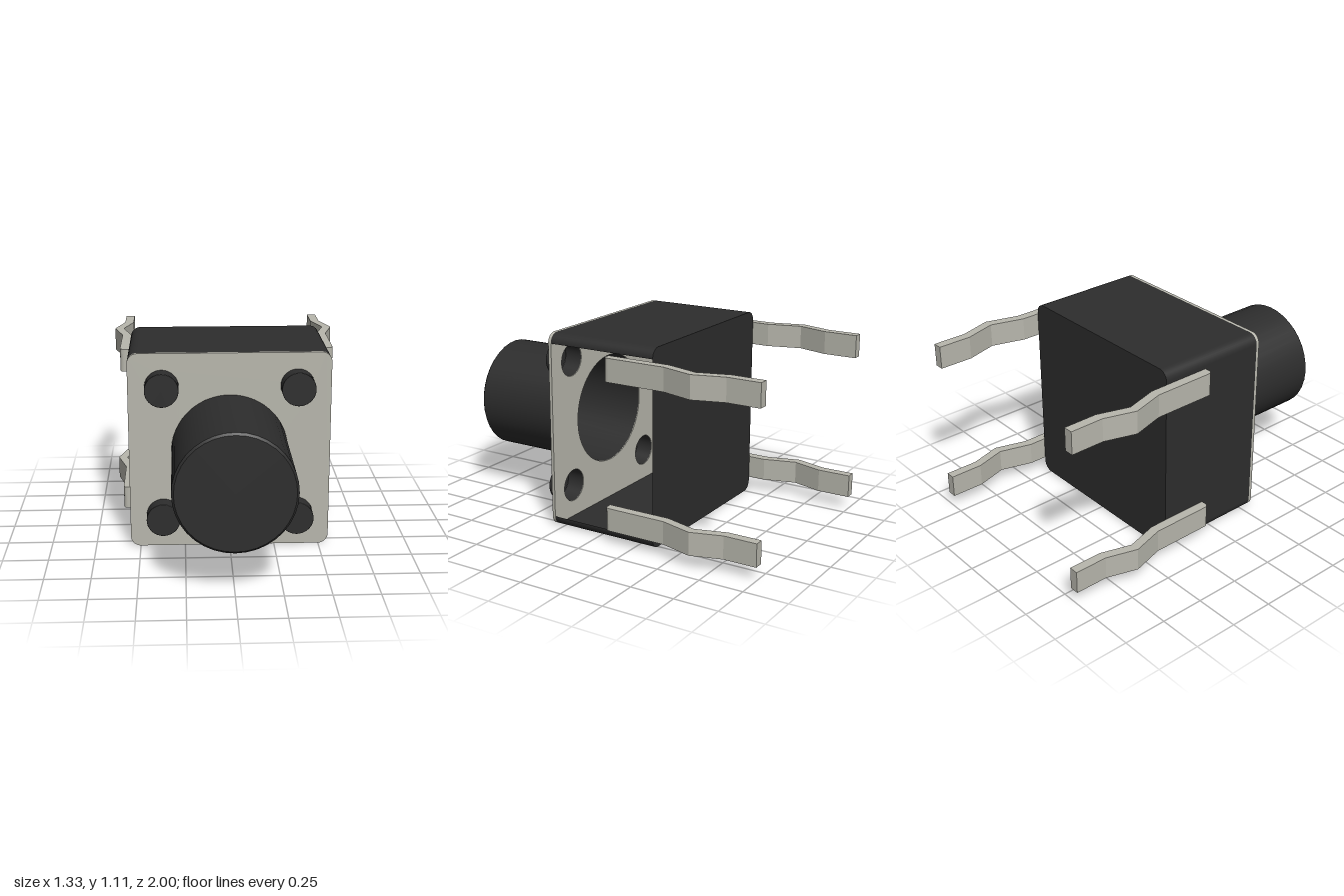
import * as THREE from 'three';
import { toCreasedNormals } from 'three/addons/utils/BufferGeometryUtils.js';

const HALF = 0.555, MID = 0.555, CORNER = 0.055;
const BACK = -0.35, PLATE_BACK = 0.297, PLATE_FRONT = 0.315;

// Rounded square outline, counter-clockwise from the top right corner
function outline(steps = 8) {
  const pts = [];
  [[1, 1], [-1, 1], [-1, -1], [1, -1]].forEach(([sx, sy], q) => {
    for (let i = 0; i <= steps; i++) {
      const a = (q + i / steps) * Math.PI / 2, c = HALF - CORNER;
      const nx = Math.cos(a), ny = Math.sin(a);
      pts.push({ x: sx * c + CORNER * nx, y: MID + sy * c + CORNER * ny, nx, ny });
    }
  });
  return pts;
}

const outlineShape = () => new THREE.Shape(outline().map(p => new THREE.Vector2(p.x, p.y)));

// Housing walls: a ribbon along the outline, left open on the +x side
function wallGeometry() {
  const pos = [], nor = [], idx = [];
  outline().forEach((p, i) => {
    pos.push(p.x, p.y, BACK, p.x, p.y, PLATE_BACK);
    nor.push(p.nx, p.ny, 0, p.nx, p.ny, 0);
    if (i > 0) {
      const a = 2 * (i - 1), b = 2 * i;
      idx.push(a, b, b + 1, a, b + 1, a + 1);
    }
  });
  const g = new THREE.BufferGeometry();
  g.setAttribute('position', new THREE.Float32BufferAttribute(pos, 3));
  g.setAttribute('normal', new THREE.Float32BufferAttribute(nor, 3));
  g.setIndex(idx);
  return g;
}

// Hollow cylinder pointing forward, closed at its front with a small bevel
function capGeometry(radius, front, bevel) {
  const profile = [[radius, 0.3], [radius, front - bevel], [radius - bevel, front], [0, front]]
    .map(([x, y]) => new THREE.Vector2(x, y));
  return toCreasedNormals(new THREE.LatheGeometry(profile, 36).rotateX(Math.PI / 2), 0.4);
}

// Kinked terminal strip, drawn as seen from above
function pinGeometry(side) {
  const s = new THREE.Shape();
  s.moveTo(side * 0.557, 0.08);
  s.lineTo(side * 0.58, 0.08);
  s.quadraticCurveTo(side * 0.61, 0.08, side * 0.61, 0.11);
  [[0.61, 0.45], [0.663, 0.635], [0.61, 0.81], [0.61, 1],
    [0.557, 1], [0.557, 0.81], [0.61, 0.635], [0.557, 0.45]]
    .forEach(([x, d]) => s.lineTo(side * x, d));
  s.closePath();
  const g = new THREE.ExtrudeGeometry(s, { depth: 0.13, bevelEnabled: false, curveSegments: 6 });
  return g.rotateX(-Math.PI / 2);
}

export function createModel() {
  const plastic = new THREE.MeshStandardMaterial({ color: 0x2d2d2d, side: THREE.DoubleSide });
  plastic.name = 'blackPlastic';
  const metal = new THREE.MeshStandardMaterial({ color: 0xb8b7ad, side: THREE.DoubleSide });
  metal.name = 'paleMetal';

  const model = new THREE.Group();
  model.name = 'pushSwitch';
  const add = (name, geometry, material, x = 0, y = 0, z = 0) => {
    const mesh = new THREE.Mesh(geometry, material);
    mesh.name = name;
    mesh.position.set(x, y, z);
    model.add(mesh);
  };

  // Housing
  add('housingWalls', wallGeometry(), plastic);
  const backGeo = new THREE.ShapeGeometry(outlineShape()).rotateY(Math.PI);
  add('housingBack', backGeo, plastic, 0, 0, BACK);

  // Cover plate with a hole for the button and each peg
  const pegs = [];
  for (const x of [-0.37, 0.37]) for (const y of [0.185, 0.925]) pegs.push([x, y]);
  const plate = outlineShape();
  for (const [x, y, r] of [[0, MID, 0.321], ...pegs.map(p => [...p, 0.093])]) {
    plate.holes.push(new THREE.Path().absarc(x, y, r, 0, Math.PI * 2, true));
  }
  const plateGeo = new THREE.ExtrudeGeometry(plate,
    { depth: PLATE_FRONT - PLATE_BACK, bevelEnabled: false, curveSegments: 36 });
  add('coverPlate', toCreasedNormals(plateGeo, 0.4), metal, 0, 0, PLATE_BACK);

  // Button and corner pegs
  add('button', capGeometry(0.32, 1, 0.012), plastic, 0, MID);
  for (const [x, y] of pegs) add('cornerPeg', capGeometry(0.0925, 0.405, 0.001), plastic, x, y);

  // Four terminal pins
  for (const side of [-1, 1]) {
    const pin = pinGeometry(side);
    for (const y of [0.075, 0.91]) add(side > 0 ? 'leftPin' : 'rightPin', pin, metal, 0, y);
  }
  return model;
}
